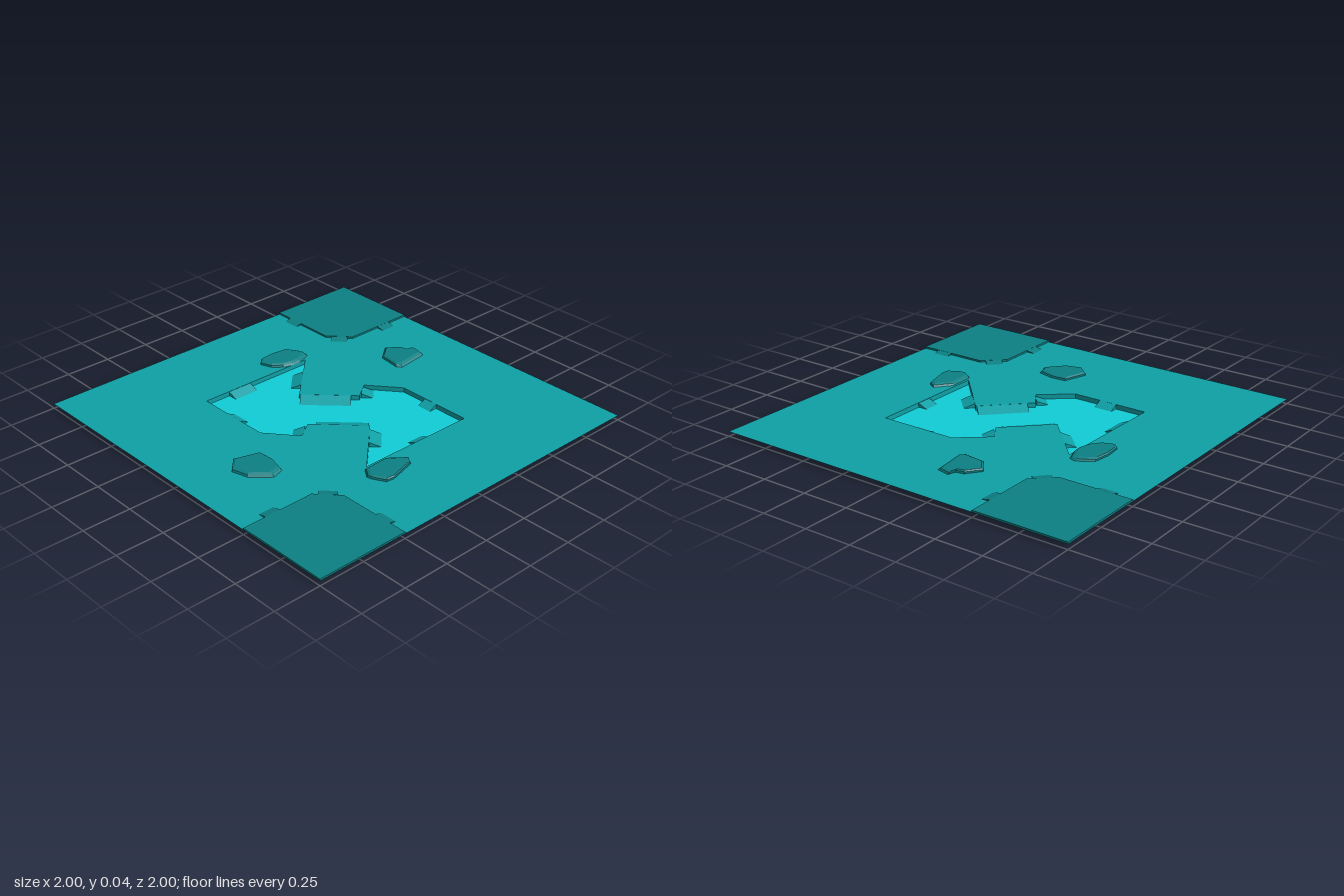
import * as THREE from 'three';

const GROUND = 0.025, PAD = 0.035, ROCK = 0.041;

const paint = (color) => new THREE.MeshStandardMaterial({ color, side: THREE.DoubleSide, flatShading: true });
const groundMat = paint(0x0fa0a6), pitMat = paint(0x10cdd5), padMat = paint(0x0d8083);

const turn = (pts) => pts.map(([x, z]) => [-x, -z]);
const toVec = (pts) => pts.map(([x, z]) => new THREE.Vector2(x, -z));

function mesh(name, geometry, material) {
  const m = new THREE.Mesh(geometry, material);
  m.name = name;
  return m;
}

// Flat horizontal sheet from an (x, z) outline
function sheet(name, outline, y, material, holes = []) {
  const shape = new THREE.Shape(toVec(outline));
  shape.holes = holes.map((h) => new THREE.Path(toVec(h)));
  return mesh(name, new THREE.ShapeGeometry(shape).rotateX(-Math.PI / 2).translate(0, y, 0), material);
}

// Band of quads joining a lower and an upper loop
function band(name, low, yLow, high, yHigh, material) {
  const pos = [];
  low.forEach((a, i) => {
    const j = (i + 1) % low.length;
    const A = [a[0], yLow, a[1]], B = [low[j][0], yLow, low[j][1]];
    const C = [high[j][0], yHigh, high[j][1]], D = [high[i][0], yHigh, high[i][1]];
    pos.push(...A, ...C, ...B, ...A, ...D, ...C);
  });
  const g = new THREE.BufferGeometry();
  g.setAttribute('position', new THREE.Float32BufferAttribute(pos, 3));
  g.computeVertexNormals();
  return mesh(name, g, material);
}

// Wedge that starts at an edge and slopes down along (dx, dz)
function ramp(name, [x, z, dx, dz, width, run], y, height, material) {
  const tri = new THREE.Shape([[0, 0], [run, 0], [0, height]].map((p) => new THREE.Vector2(...p)));
  const g = new THREE.ExtrudeGeometry(tri, { depth: width, bevelEnabled: false }).translate(0, 0, -width / 2);
  const m = mesh(name, g, material);
  m.position.set(x, y, z);
  m.rotation.y = Math.atan2(-dz, dx);
  return m;
}

// Outline shrunk about its centre and shifted
function shrink(pts, s, sx = 0, sz = 0) {
  const cx = pts.reduce((t, p) => t + p[0], 0) / pts.length;
  const cz = pts.reduce((t, p) => t + p[1], 0) / pts.length;
  return pts.map(([x, z]) => [cx + (x - cx) * s + sx, cz + (z - cz) * s + sz]);
}

export function createModel() {
  const model = new THREE.Group();
  model.name = 'arenaFloor';

  const pitHalf = [[-0.415, -0.08], [-0.415, -0.5], [0.245, -0.492], [-0.025, -0.235], [0.19, -0.015], [0.285, -0.08]];
  const pit = [...pitHalf, ...turn(pitHalf)];
  const padEdge = [[0.5, -1], [0.5, -0.61], [0.6, -0.5], [1, -0.5]];
  const rocks = [
    { pts: [[0.035, -0.61], [0.065, -0.64], [0.15, -0.648], [0.245, -0.635], [0.27, -0.6], [0.293, -0.555],
      [0.285, -0.52], [0.21, -0.493], [0.165, -0.49], [0.11, -0.505], [0.06, -0.545]], shift: [-0.008, -0.008] },
    { pts: [[0.637, -0.285], [0.71, -0.23], [0.72, -0.185], [0.76, -0.175], [0.745, -0.105], [0.565, -0.083],
      [0.545, -0.105], [0.56, -0.225]], shift: [0, -0.01] },
    { pts: [[-0.675, 0.03], [-0.54, 0.072], [-0.535, 0.16], [-0.56, 0.25], [-0.625, 0.27], [-0.665, 0.235],
      [-0.715, 0.19], [-0.74, 0.1]], shift: [0, -0.01] },
    { pts: [[-0.275, 0.51], [-0.135, 0.506], [-0.05, 0.575], [-0.075, 0.615], [-0.15, 0.635], [-0.225, 0.655],
      [-0.27, 0.65], [-0.305, 0.585], [-0.31, 0.56]], shift: [0, 0.005] },
  ];

  // Ground sheet, cut away under the pads, pit and rocks
  const groundHalf = [[-1, -1], ...padEdge];
  model.add(sheet('ground', [...groundHalf, ...turn(groundHalf)], GROUND, groundMat,
    [pit, ...rocks.map((r) => shrink(r.pts, 0.88))]));

  // Sunken pit
  model.add(sheet('pitFloor', pit, 0, pitMat));
  model.add(band('pitWall', pit, 0, pit, GROUND, groundMat));
  const pitRamps = [
    [-0.2, -0.5, 0, 1, 0.14, 0.055], [-0.415, -0.28, 1, 0, 0.1, 0.047],
    [0.12, 0.5, 0, -1, 0.085, 0.055], [0.415, 0.27, -1, 0, 0.08, 0.047],
    [0.1, -0.353, -1, -1, 0.14, 0.055], [-0.045, 0.302, 1, 1, 0.125, 0.06],
    [0.07, -0.138, -1, 1, 0.26, 0.065], [-0.07, 0.138, 1, -1, 0.26, 0.065],
    [0.24, -0.05, 1, 1, 0.08, 0.06], [-0.24, 0.05, -1, -1, 0.08, 0.06],
  ];
  pitRamps.forEach((r) => model.add(ramp('pitRamp', r, 0.0008, GROUND - 0.0012, groundMat)));

  // Raised corner pads with their ramps
  const padRamps = [[0.5, -0.86, -1, 0, 0.09, 0.035], [0.83, -0.5, 0, 1, 0.085, 0.045], [0.55, -0.555, -1, 1, 0.09, 0.045]];
  for (const name of ['rightPad', 'leftPad']) {
    const pad = new THREE.Group();
    pad.name = name;
    const outline = [...padEdge, [1, -1]];
    pad.add(sheet('padTop', outline, PAD, padMat), band('padSide', outline, GROUND, outline, PAD, padMat));
    padRamps.forEach((r) => pad.add(ramp('padRamp', r, GROUND + 0.0005, PAD - GROUND - 0.001, padMat)));
    if (name === 'leftPad') pad.rotation.y = Math.PI;
    model.add(pad);
  }

  // Low faceted rocks
  for (const { pts, shift } of rocks) {
    const rock = new THREE.Group();
    rock.name = 'rock';
    const shoulder = shrink(pts, 0.96, shift[0] / 2, shift[1] / 2), top = shrink(pts, 0.84, ...shift);
    rock.add(band('rockSide', pts, GROUND, shoulder, 0.035, padMat));
    rock.add(band('rockBevel', shoulder, 0.035, top, ROCK, padMat));
    rock.add(sheet('rockTop', top, ROCK, padMat));
    model.add(rock);
  }
  return model;
}
